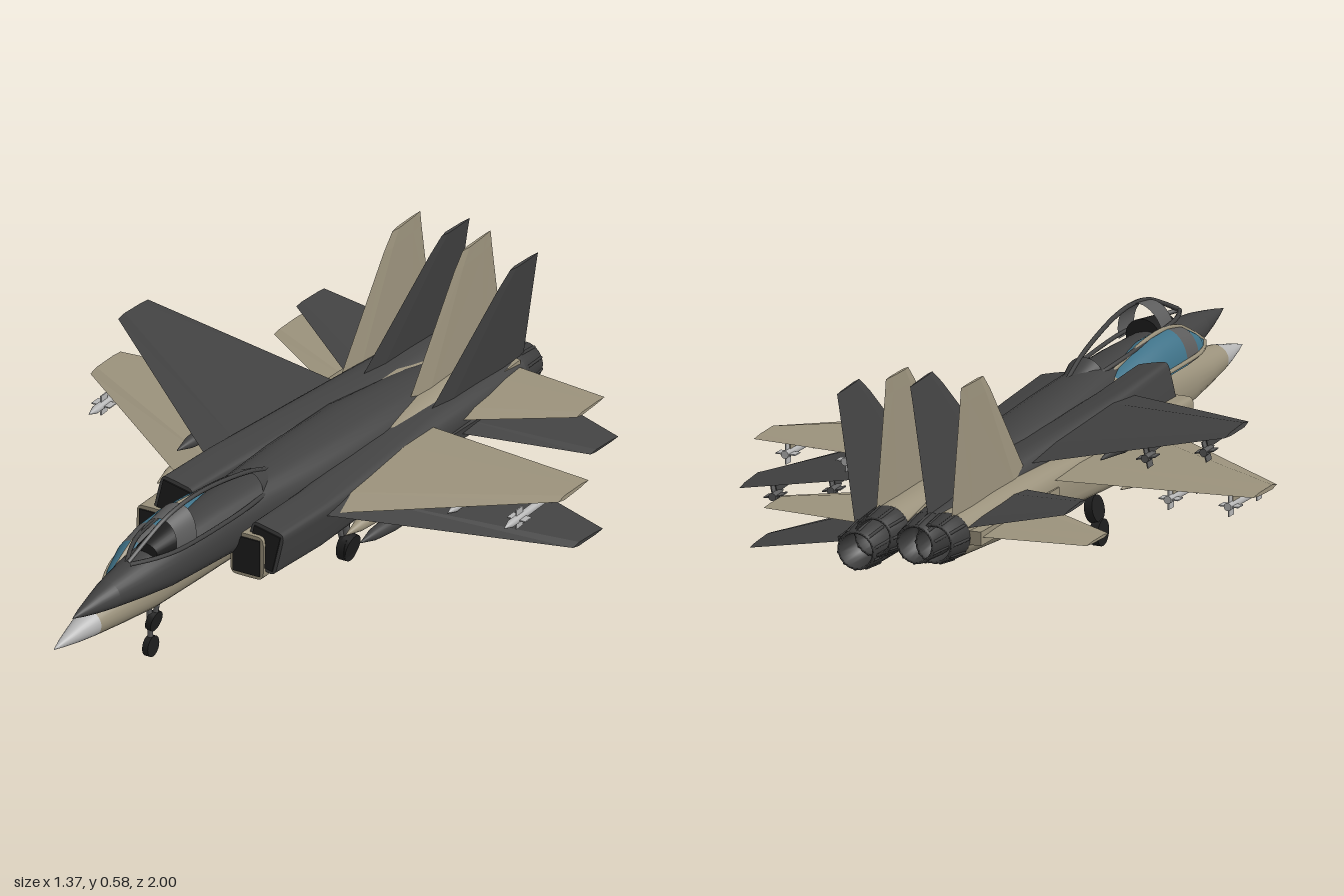
import * as THREE from 'three';

const mat = (name, hex, side = THREE.FrontSide) => {
  const m = new THREE.MeshStandardMaterial({ color: hex, side });
  m.name = name;
  return m;
};
const M = {
  tan: mat('tan paint', 0x9a917b),
  dark: mat('charcoal paint', 0x414141),
  nose: mat('pale grey', 0xb4b4b4),
  glass: mat('blue glass', 0x3f7288),
  frame: mat('frame grey', 0x5c5c5c, THREE.DoubleSide),
  metal: mat('exhaust metal', 0x3a3a3a, THREE.DoubleSide),
  black: mat('black', 0x1e1e1e),
};

// Skin over superellipse sections [z, cx, cy, rx, ry, power], listed nose to tail
function loft(sections, a0 = 0, a1 = Math.PI * 2, caps = true) {
  const N = 28, pos = [], idx = [];
  const full = a1 - a0 > 6.2, row = full ? N : N + 1;
  const pw = (v, n) => Math.sign(v) * Math.abs(v) ** (2 / n);
  const ring = ([z, cx, cy, rx, ry, n = 2]) => {
    for (let j = 0; j < row; j++) {
      const a = a0 + (a1 - a0) * j / N;
      pos.push(cx + rx * pw(Math.cos(a), n), cy + ry * pw(Math.sin(a), n), z);
    }
  };
  sections.forEach(ring);
  for (let i = 0; i < sections.length - 1; i++) {
    for (let j = 0; j < N; j++) {
      const a = i * row + j, b = i * row + (j + 1) % row;
      idx.push(a, a + row, b, b, a + row, b + row);
    }
  }
  if (caps) [sections[0], sections.at(-1)].forEach((s, k) => {
    const base = pos.length / 3;
    ring(s);
    pos.push(s[1], s[2], s[0]);
    for (let j = 0; j < N; j++) {
      const a = base + j, b = base + (j + 1) % row;
      k ? idx.push(base + row, b, a) : idx.push(base + row, a, b);
    }
  });
  const g = new THREE.BufferGeometry();
  g.setAttribute('position', new THREE.Float32BufferAttribute(pos, 3));
  g.setIndex(idx);
  g.computeVertexNormals();
  return g;
}

// Tapered hexagonal-section panel along +x; stations [span, leading z, trailing z, half thickness]
function panel(stations) {
  const pos = [], idx = [], last = (stations.length - 1) * 6;
  for (const [x, le, te, t] of stations) {
    const at = f => le + (te - le) * f;
    [[0, 0], [0.2, t], [0.75, t * 0.7], [1, 0], [0.75, -t * 0.7], [0.2, -t]]
      .forEach(([f, y]) => pos.push(x, y, at(f)));
  }
  for (let i = 0; i < stations.length - 1; i++) {
    for (let j = 0; j < 6; j++) {
      const a = i * 6 + j, b = i * 6 + (j + 1) % 6;
      idx.push(a, a + 6, b, b, a + 6, b + 6);
    }
  }
  for (let j = 1; j < 5; j++) idx.push(0, j, j + 1, last, last + j + 1, last + j);
  // the ring runs clockwise seen from the tip, so turn every face outward
  for (let k = 0; k < idx.length; k += 3) [idx[k + 1], idx[k + 2]] = [idx[k + 2], idx[k + 1]];
  const g = new THREE.BufferGeometry();
  g.setAttribute('position', new THREE.Float32BufferAttribute(pos, 3));
  g.setIndex(idx);
  const signed = volume(g);
  if (signed < 0) for (let k = 0; k < idx.length; k += 3) [idx[k + 1], idx[k + 2]] = [idx[k + 2], idx[k + 1]];
  g.setIndex(idx);
  const flat = g.toNonIndexed();
  flat.computeVertexNormals();
  return flat;
}

// Signed volume tells whether the faces point outward
function volume(g) {
  const p = g.attributes.position, i = g.index.array;
  const v = k => new THREE.Vector3().fromBufferAttribute(p, i[k]);
  let sum = 0;
  for (let k = 0; k < i.length; k += 3) sum += v(k).dot(v(k + 1).cross(v(k + 2)));
  return sum;
}

// Copy reflected in x, with the corner order restored
function mirror(geo) {
  const g = geo.index ? geo.toNonIndexed() : geo.clone();
  for (const key of ['position', 'normal']) {
    const a = g.attributes[key].array;
    for (let k = 0; k < a.length; k += 9) {
      for (let c = 0; c < 3; c++) [a[k + 3 + c], a[k + 6 + c]] = [a[k + 6 + c], a[k + 3 + c]];
      for (let c = 0; c < 9; c += 3) a[k + c] *= -1;
    }
  }
  return g;
}

function rod(a, b, r) {
  return new THREE.TubeGeometry(new THREE.LineCurve3(new THREE.Vector3(...a), new THREE.Vector3(...b)), 1, r, 8);
}
const box = (w, h, d, x, y, z) => new THREE.BoxGeometry(w, h, d).translate(x, y, z);
const wheel = (r, w, x, y, z) => new THREE.CylinderGeometry(r, r, w, 20).rotateZ(Math.PI / 2).translate(x, y, z);

function jet(paint, nosePaint, glazed) {
  const g = new THREE.Group();
  const add = (name, geo, m = paint) => {
    const mesh = new THREE.Mesh(geo, m);
    mesh.name = name;
    g.add(mesh);
  };
  const pair = (name, geo, m = paint) => {
    add(name + 'Left', geo, m);
    add(name + 'Right', mirror(geo), m);
  };

  // Nose cone and fuselage
  add('noseCone', loft([[1, 0, 0.21, 0.001, 0.001], [0.96, 0, 0.211, 0.012, 0.011],
    [0.9, 0, 0.212, 0.025, 0.024], [0.84, 0, 0.214, 0.037, 0.035]]), nosePaint);
  add('fuselage', loft([[0.84, 0, 0.214, 0.037, 0.035], [0.72, 0, 0.215, 0.054, 0.052],
    [0.6, 0, 0.216, 0.065, 0.066, 2.2], [0.4, 0, 0.218, 0.07, 0.077, 2.4], [0.2, 0, 0.218, 0.08, 0.082, 2.4],
    [0, 0, 0.213, 0.095, 0.087, 2.4], [-0.3, 0, 0.213, 0.1, 0.085, 2.4],
    [-0.6, 0, 0.212, 0.08, 0.07], [-0.9, 0, 0.205, 0.05, 0.03]]));

  // Intake ducts running into the engine housings
  pair('engineHousing', loft([[0.32, 0.133, 0.208, 0.047, 0.058, 7], [0.1, 0.13, 0.203, 0.05, 0.062, 6],
    [-0.15, 0.115, 0.203, 0.058, 0.064, 4], [-0.45, 0.09, 0.205, 0.074, 0.067, 3],
    [-0.7, 0.085, 0.206, 0.071, 0.064, 2.4], [-0.9, 0.081, 0.205, 0.058, 0.058]]));
  pair('intakeOpening', box(0.076, 0.096, 0.006, 0.133, 0.208, 0.321), M.black);
  pair('tailBoom', box(0.06, 0.035, 0.46, 0.137, 0.206, -0.67));

  // Exhaust nozzles, hollow with an inner disc
  const profile = [[0.001, 0.02], [0.04, 0.02], [0.043, 0.1], [0.05, 0.1], [0.058, 0.03], [0.058, 0]];
  pair('nozzle', new THREE.LatheGeometry(profile.map(p => new THREE.Vector2(...p)), 20)
    .rotateX(-Math.PI / 2).translate(0.081, 0.205, -0.885), M.metal);
  for (let k = 0; k < 10; k++) {
    const a = k * Math.PI / 5, c = Math.cos(a), s = Math.sin(a);
    pair('nozzlePetal' + k, rod([0.081 + 0.057 * c, 0.205 + 0.057 * s, -0.91],
      [0.081 + 0.049 * c, 0.205 + 0.049 * s, -0.983], 0.004), M.metal);
  }

  // Wings, tailplanes and fins
  pair('wing', panel([[0.08, 0.19, -0.455, 0.014], [0.17, 0.12, -0.45, 0.013], [0.665, -0.26, -0.4, 0.006]])
    .translate(0, 0.242, 0));
  pair('tailplane', panel([[0.12, -0.52, -0.895, 0.008], [0.43, -0.73, -0.86, 0.004]]).translate(0, 0.208, 0));
  pair('fin', panel([[0.23, -0.46, -0.93, 0.01], [0.53, -0.7, -0.876, 0.005], [0.57, -0.74, -0.87, 0.004]])
    .rotateZ(Math.PI / 2).translate(0.1, 0, 0));

  // Canopy: windshield, bow, main glass and centre rail
  const dome = [[0.77, 0.004, 0.004], [0.7, 0.034, 0.04], [0.63, 0.053, 0.071], [0.55, 0.06, 0.085],
    [0.45, 0.062, 0.085], [0.33, 0.06, 0.07], [0.22, 0.05, 0.048], [0.13, 0.03, 0.02]]
    .map(([z, rx, ry]) => [z, 0, 0.275, rx, ry]);
  if (glazed) {
    add('windshield', loft(dome.slice(0, 3), 0, Math.PI, false), M.glass);
    add('canopyGlass', loft(dome.slice(3, 7), 0, Math.PI, false), M.glass);
  }
  add('canopyBow', loft(dome.slice(2, 4), 0, Math.PI, false), M.frame);
  add('canopyFairing', loft(dome.slice(6), 0, Math.PI, false));
  const rail = (dx, rise) => new THREE.TubeGeometry(new THREE.CatmullRomCurve3(
    dome.map(([z, , y, rx, ry]) => new THREE.Vector3(dx * rx, y + rise * ry, z))), 32, 0.006, 6);
  add('canopyRail', rail(0, 1));
  pair('canopySill', rail(1, 0.12));
  add('instrumentHood', loft([[0.68, 0, 0.275, 0.03, 0.02], [0.56, 0, 0.275, 0.045, 0.042]]), M.black);

  // Landing gear
  add('noseStrut', rod([0, 0.17, 0.56], [0, 0.03, 0.55], 0.007), M.frame);
  add('noseWheel', wheel(0.027, 0.016, 0, 0.027, 0.55), M.black);
  pair('mainStrut', rod([0.105, 0.16, -0.12], [0.132, 0.035, -0.14], 0.009), M.frame);
  pair('mainWheel', wheel(0.034, 0.022, 0.137, 0.034, -0.14), M.black);

  // Underwing tanks, pylons and missiles
  pair('tank', loft([[0.08, 0.268, 0.195, 0.001, 0.001], [0.02, 0.268, 0.195, 0.015, 0.015],
    [-0.06, 0.268, 0.195, 0.021, 0.021], [-0.18, 0.268, 0.195, 0.02, 0.02], [-0.3, 0.268, 0.195, 0.002, 0.002]]));
  pair('tankPylon', box(0.008, 0.04, 0.13, 0.268, 0.22, -0.12));
  const missilePaint = glazed ? M.nose : M.frame;
  for (const x of [0.43, 0.59]) {
    const tip = glazed ? -0.13 : -0.32, y = 0.207;
    pair('missile', loft([[tip, x, y, 0.001, 0.001], [tip - 0.03, x, y, 0.01, 0.01],
      [-0.385, x, y, 0.01, 0.01]]), missilePaint);
    for (const z of glazed ? [-0.2, -0.365] : [-0.365]) {
      pair('missileFinFlat', box(0.052, 0.003, 0.03, x, y, z), missilePaint);
      pair('missileFinUpright', box(0.003, 0.052, 0.03, x, y, z), missilePaint);
    }
    pair('missilePylon', box(0.008, 0.03, 0.08, x, 0.226, -0.32));
  }
  return g;
}

export function createModel() {
  const model = new THREE.Group();

  // Level tan aircraft
  const level = jet(M.tan, M.nose, true);
  level.name = 'tanAircraft';
  level.position.x = -0.02;

  // Charcoal aircraft, banked and pitched nose-up about its wing centre
  const banked = new THREE.Group();
  banked.name = 'charcoalAircraft';
  const inner = jet(M.dark, M.dark, false);
  inner.name = 'charcoalAirframe';
  inner.position.set(0, -0.24, 0.3);
  banked.add(inner);
  banked.position.set(0.03, 0.257, -0.315);
  banked.rotation.set(-0.055, 0, -0.208);

  model.add(level, banked);
  return model;
}
